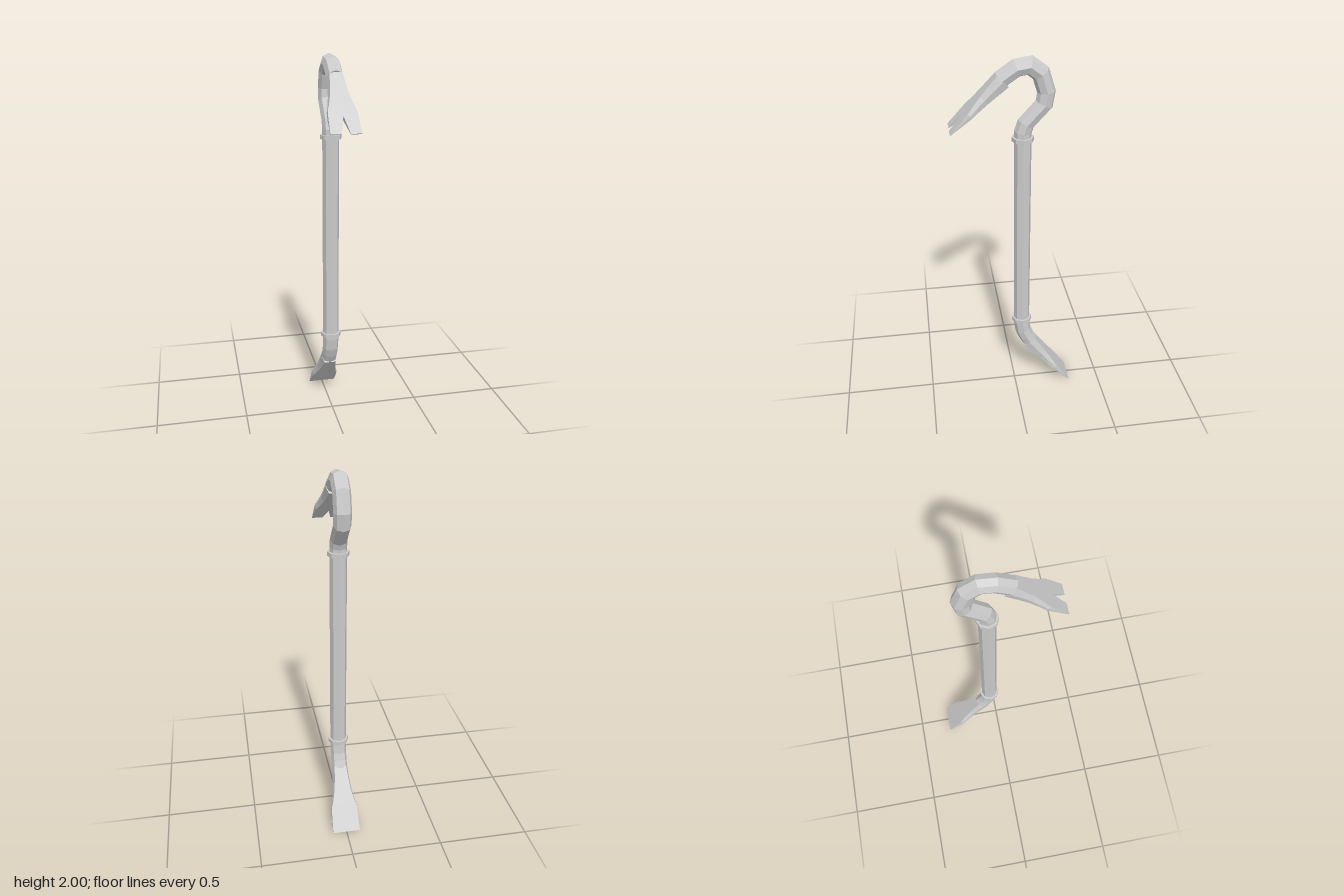
import * as THREE from 'three';

const steel = new THREE.MeshStandardMaterial({ color: 0xcccccc, flatShading: true });

// Skins a row of equal-sized convex rings, with end caps, facing outwards.
function loft(rings) {
  const tris = [];
  const n = rings[0].length;
  for (let i = 0; i + 1 < rings.length; i++) {
    for (let j = 0; j < n; j++) {
      const k = (j + 1) % n;
      const [a, b, c, d] = [rings[i][j], rings[i][k], rings[i + 1][k], rings[i + 1][j]];
      tris.push([a, b, c], [a, c, d]);
    }
  }
  const first = rings[0], last = rings[rings.length - 1];
  for (let j = 1; j + 1 < n; j++) {
    tris.push([first[0], first[j + 1], first[j]], [last[0], last[j], last[j + 1]]);
  }
  // A negative enclosed volume means the faces point inwards
  let volume = 0;
  for (const [a, b, c] of tris) volume += a.dot(b.clone().cross(c));
  if (volume < 0) tris.forEach((t) => t.reverse());
  const geometry = new THREE.BufferGeometry().setFromPoints(tris.flat());
  geometry.computeVertexNormals();
  return geometry;
}

function addMesh(parent, geometry, name) {
  const mesh = new THREE.Mesh(geometry, steel);
  mesh.name = name;
  parent.add(mesh);
  return mesh;
}

// Octagonal bar swept along [z, y] points with mitred bends.
function sweepBar(points, radius) {
  const path = points.map(([z, y]) => new THREE.Vector2(z, y));
  const rings = path.map((p, i) => {
    const before = p.clone().sub(path[Math.max(i - 1, 0)]).normalize();
    const after = path[Math.min(i + 1, path.length - 1)].clone().sub(p).normalize();
    const along = before.clone().add(after).normalize();
    const miter = 1 / Math.max(along.dot(before), along.dot(after));
    return Array.from({ length: 8 }, (_, k) => {
      const a = (k * Math.PI) / 4;
      const s = Math.sin(a) * radius * miter;
      return new THREE.Vector3(Math.cos(a) * radius, p.y + along.x * s, p.x - along.y * s);
    });
  });
  return loft(rings);
}

// Blade stations: fraction of length, half width at the edge, half width of the flats
const STATIONS = [
  [0, 0.045, 0.033],
  [0.18, 0.048, 0.039],
  [0.35, 0.054, 0.046],
  [0.5, 0.064, 0.058],
  [0.63, 0.075, 0.072],
  [0.717, 0.0755, 0.074],
  [1, 0.077, 0.077],
];

// Flared wedge from root to tip, made of two mirrored halves; notch opens a V at the tip.
function makeBlade(name, root, tip, notch) {
  const blade = new THREE.Group();
  blade.name = name;
  const start = new THREE.Vector2(...root);
  const end = new THREE.Vector2(...tip);
  const along = end.clone().sub(start).normalize();
  for (const side of [1, -1]) {
    const rings = STATIONS.map(([t, edge, flat]) => {
      const c = start.clone().lerp(end, t);
      const h = THREE.MathUtils.lerp(0.04, 0.002, t);
      const inner = notch * Math.max(0, (t - 0.717) / 0.283);
      const section = [[inner, h], [flat, h], [edge, 0], [flat, -h], [inner, -h]];
      return section.map(([x, v]) =>
        new THREE.Vector3(side * x, c.y + along.x * v, c.x - along.y * v));
    });
    addMesh(blade, loft(rings), side > 0 ? name + 'Left' : name + 'Right');
  }
  return blade;
}

export function createModel() {
  const model = new THREE.Group();
  model.name = 'crowbar';

  // Bar: lower bend, straight shaft and hooked top
  const path = [
    [-0.09, 0.285], [-0.068, 0.325], [-0.05, 0.37], [-0.041, 0.43],
    [-0.041, 1.615], [-0.056, 1.66],
    [-0.146, 1.757], [-0.156, 1.82], [-0.127, 1.912],
    [-0.073, 1.953], [-0.008, 1.943], [0.07, 1.89],
  ];
  addMesh(model, sweepBar(path, 0.045), 'bar');

  // Collars at both ends of the grip
  for (const [name, y] of [['lowerCollar', 0.455], ['upperCollar', 1.58]]) {
    const collar = addMesh(model, new THREE.CylinderGeometry(0.057, 0.057, 0.022, 8), name);
    collar.position.set(0, y, -0.041);
  }

  // Notched claw at the hook, plain chisel at the foot
  model.add(makeBlade('claw', [0.06, 1.89], [0.325, 1.65], 0.022));
  model.add(makeBlade('chisel', [-0.085, 0.287], [-0.322, 0.002], 0));
  return model;
}
